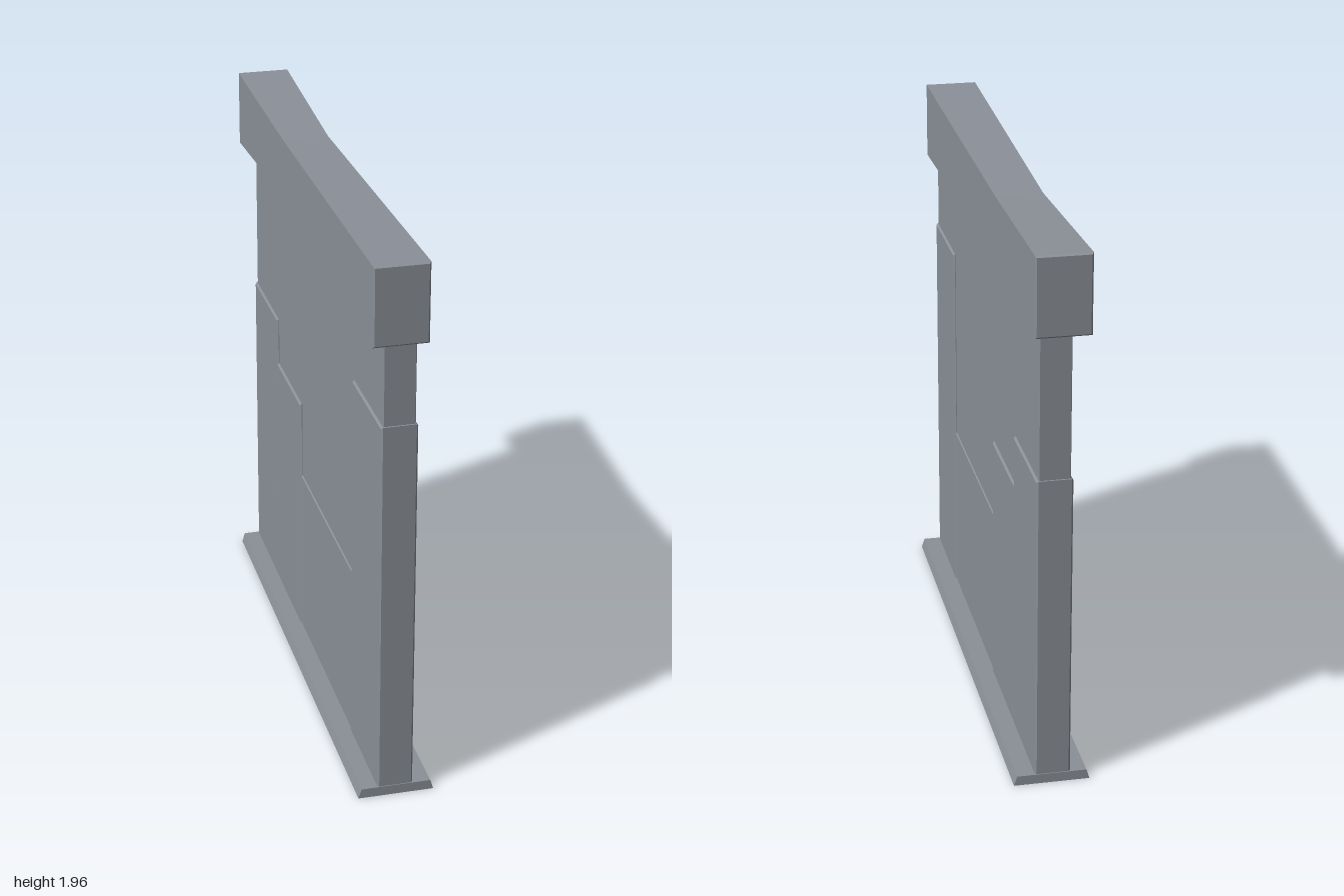
import * as THREE from 'three';

const material = new THREE.MeshStandardMaterial({ color: 0x8b9098, flatShading: true, side: THREE.DoubleSide });
const CENTER_X = -0.005;

function polygon(points) {
  return new THREE.Shape(points.map(([x, y]) => new THREE.Vector2(x, y)));
}

// Rectangle extruded along z with chamfered edges, outer size kept exact
function chamferedBlock(w0, w1, h0, h1, depth, bevel, steps = 1) {
  const shape = polygon([
    [w0 + bevel, h0 + bevel], [w1 - bevel, h0 + bevel],
    [w1 - bevel, h1 - bevel], [w0 + bevel, h1 - bevel],
  ]);
  const geometry = new THREE.ExtrudeGeometry(shape, {
    depth: depth - 2 * bevel, steps,
    bevelSize: bevel, bevelThickness: bevel, bevelSegments: 1,
  });
  return geometry.translate(0, 0, bevel - depth / 2);
}

function addMesh(group, name, geometry) {
  const mesh = new THREE.Mesh(geometry, material);
  mesh.name = name;
  group.add(mesh);
}

// Upright slab spanning z0..z1 and y0..y1
function addSlab(group, name, z0, z1, y0, y1, halfThickness, bevel) {
  const geometry = chamferedBlock(-z1, -z0, y0, y1, 2 * halfThickness, bevel);
  addMesh(group, name, geometry.rotateY(Math.PI / 2).translate(CENTER_X, 0, 0));
}

// Cap beam, pinched slightly toward a waist at z = -0.3
function beamGeometry() {
  const halfWidth = 0.094, height = 0.277;
  const geometry = chamferedBlock(-halfWidth, halfWidth, 0, height, 2, 0.006, 20);
  const p = geometry.attributes.position;
  for (let i = 0; i < p.count; i++) {
    const z = p.getZ(i);
    const t = z > -0.3 ? (z + 0.3) / 1.3 : (-0.3 - z) / 0.7;
    const bottom = 1.712 - 0.031 * t;
    const top = 1.928 + 0.03 * t;
    p.setX(i, CENTER_X + p.getX(i) * (0.88 + 0.12 * t));
    p.setY(i, bottom + (top - bottom) * p.getY(i) / height);
  }
  geometry.computeVertexNormals();
  return geometry;
}

export function createModel() {
  const group = new THREE.Group();
  group.name = 'wallSection';

  // Four columns of panels, each a thicker lower slab under a thinner upper one
  const columns = [
    { z0: 0.62, z1: 0.996, split: 1.4, half: 0.062 },
    { z0: -0.14, z1: 0.62, split: 0.672, half: 0.058 },
    { z0: -0.515, z1: -0.14, split: 0.96, half: 0.062 },
    { z0: -0.894, z1: -0.515, split: 1.14, half: 0.062 },
  ];
  columns.forEach(({ z0, z1, split, half }, i) => {
    addSlab(group, `lowerPanel${i + 1}`, z0, z1, 0.002, split, half, 0.006);
    // Upper panels at the two ends sit slightly inside the lower ones
    const upperZ0 = Math.max(z0, -0.888);
    const upperZ1 = Math.min(z1, 0.99);
    addSlab(group, `upperPanel${i + 1}`, upperZ0, upperZ1, split - 0.03, 1.76, 0.054, 0.002);
  });

  addMesh(group, 'capBeam', beamGeometry());

  // Skirting with sloped sides, hollow underneath and closed at both ends
  const trough = polygon([
    [-0.133, 0], [-0.122, 0.035], [0.122, 0.035], [0.133, 0],
    [0.12, 0], [0.113, 0.025], [-0.113, 0.025], [-0.12, 0],
  ]);
  const endProfile = polygon([[-0.133, 0], [0.133, 0], [0.122, 0.035], [-0.122, 0.035]]);
  const extrudeBetween = (shape, z0, z1) =>
    new THREE.ExtrudeGeometry(shape, { depth: z1 - z0, bevelEnabled: false }).translate(-0.002, 0, z0);
  addMesh(group, 'baseSkirting', extrudeBetween(trough, -0.887, 0.989));
  addMesh(group, 'baseBackEnd', extrudeBetween(endProfile, -0.897, -0.887));
  addMesh(group, 'baseFrontEnd', extrudeBetween(endProfile, 0.989, 0.999));

  return group;
}
